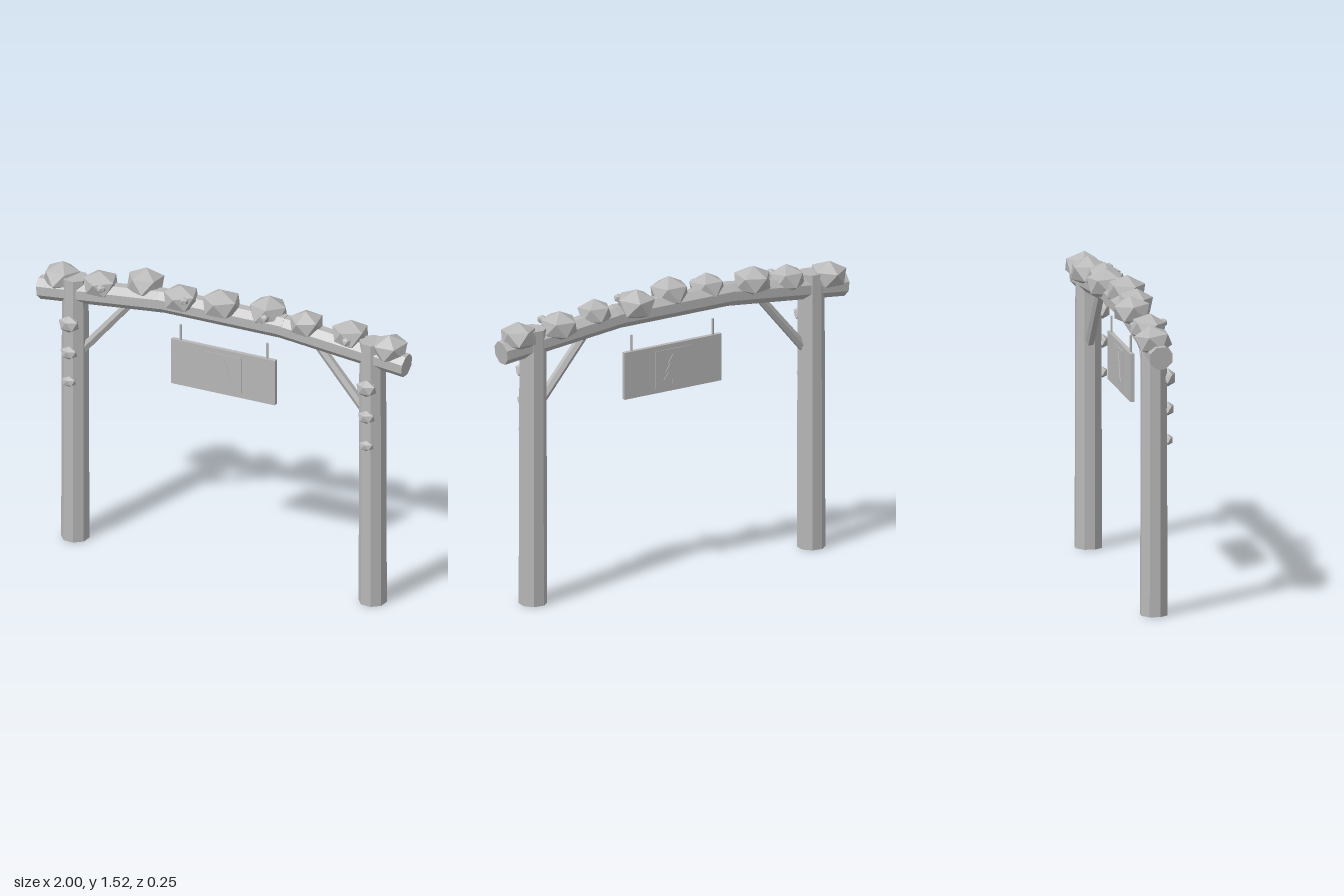
import * as THREE from 'three';

const grey = new THREE.MeshStandardMaterial({ color: 0xb8b8b8, flatShading: true });
grey.name = 'plain grey';

export function createModel() {
  const model = new THREE.Group();
  model.name = 'garlandedGateway';

  const add = (name, geometry) => {
    const mesh = new THREE.Mesh(geometry, grey);
    mesh.name = name;
    model.add(mesh);
    return mesh;
  };

  // Faceted log running between two points
  const log = (name, from, to, r0, r1, sides, spin = 0) => {
    const a = new THREE.Vector3(...from), b = new THREE.Vector3(...to);
    const dir = b.clone().sub(a);
    const geo = new THREE.CylinderGeometry(r1, r0, dir.length(), sides);
    geo.rotateY(spin);
    const mesh = add(name, geo);
    mesh.position.copy(a).add(b).multiplyScalar(0.5);
    mesh.quaternion.setFromUnitVectors(new THREE.Vector3(0, 1, 0), dir.normalize());
    return mesh;
  };

  // Faceted clump with one point turned upward
  const clump = (name, pos, size, turn = 0, tilt = 0) => {
    const geo = new THREE.IcosahedronGeometry(1, 0);
    geo.rotateZ(Math.atan(2 / (1 + Math.sqrt(5))));
    geo.rotateY(turn);
    geo.rotateX(tilt);
    geo.scale(...size);
    add(name, geo).position.set(...pos);
  };

  for (const s of [-1, 1]) {
    // Post, angled brace and outer half of the beam
    log('post', [s * 0.81, 0, 0], [s * 0.81, 1.41, 0], 0.07, 0.066, 8, 0.3);
    log('brace', [s * 0.775, 1.02, 0], [s * 0.505, 1.335, 0], 0.025, 0.023, 6);
    log('outerBeam', [s * 0.995, 1.315, 0], [s * 0.315, 1.385, 0], 0.06, 0.06, 8, Math.PI / 8);

    // Clumps climbing the front of each post
    [[1.18, 0.058, 0.045, 0.039], [1.025, 0.048, 0.035, 0.032], [0.87, 0.041, 0.028, 0.026]]
      .forEach(([y, w, h, d]) => clump('postClump', [s * 0.81, y, 0.07], [w, h, d], Math.PI / 2));

    // Hanger
    const hanger = add('hanger', new THREE.CylinderGeometry(0.006, 0.006, 0.09, 6));
    hanger.position.set(s * 0.236, 1.228, 0);
  }
  log('middleBeam', [-0.34, 1.385, 0], [0.34, 1.385, 0], 0.06, 0.06, 8, Math.PI / 8);

  // Garland along the beam: x, y, z, radius, turn, tilt
  [
    [-0.895, 1.385, -0.02, 0.099, 0.9, -0.15],
    [-0.67, 1.4, 0, 0.095, 0.3, 0.1],
    [-0.445, 1.44, -0.035, 0.102, 1.2, -0.1],
    [-0.22, 1.43, 0.025, 0.096, 1.55, 0.1],
    [0, 1.445, 0.025, 0.104, 1.57, 0.05],
    [0.23, 1.435, -0.025, 0.105, 0.6, -0.1],
    [0.45, 1.425, 0, 0.092, 1.4, 0.1],
    [0.675, 1.405, -0.025, 0.101, 0.2, -0.05],
    [0.9, 1.385, -0.01, 0.098, 1, 0.1],
  ].forEach(([x, y, z, r, turn, tilt]) =>
    clump('beamClump', [x, y, z], [r, r * 0.76, r], turn, tilt));

  // Small berries on the front of the garland
  [[-0.63, 1.415], [-0.18, 1.445], [0.26, 1.445], [0.705, 1.415]]
    .forEach(([x, y]) => clump('berry', [x, y, 0.08], [0.025, 0.022, 0.025], x * 5));

  // Hanging sign board
  add('signBoard', new THREE.BoxGeometry(0.565, 0.24, 0.022)).position.set(0, 1.07, 0);

  // Raised panel with a fir tree on both faces
  const tree = new THREE.Shape();
  const half = [[0.033, 1.095], [0.02, 1.095], [0.047, 1.05], [0.03, 1.05], [0.06, 1.01], [0.008, 1.01], [0.008, 0.985]];
  tree.moveTo(0, 1.145);
  half.forEach(([x, y]) => tree.lineTo(x, y));
  [...half].reverse().forEach(([x, y]) => tree.lineTo(-x, y));
  tree.closePath();
  for (const turn of [0, Math.PI]) {
    const panel = new THREE.BoxGeometry(0.205, 0.19, 0.004);
    panel.translate(0, 1.07, 0.012);
    add('signPanel', panel).rotation.y = turn;
    const relief = new THREE.ExtrudeGeometry(tree, { depth: 0.003, bevelEnabled: false });
    relief.translate(0, 0, 0.014);
    add('treeRelief', relief).rotation.y = turn;
  }
  return model;
}
